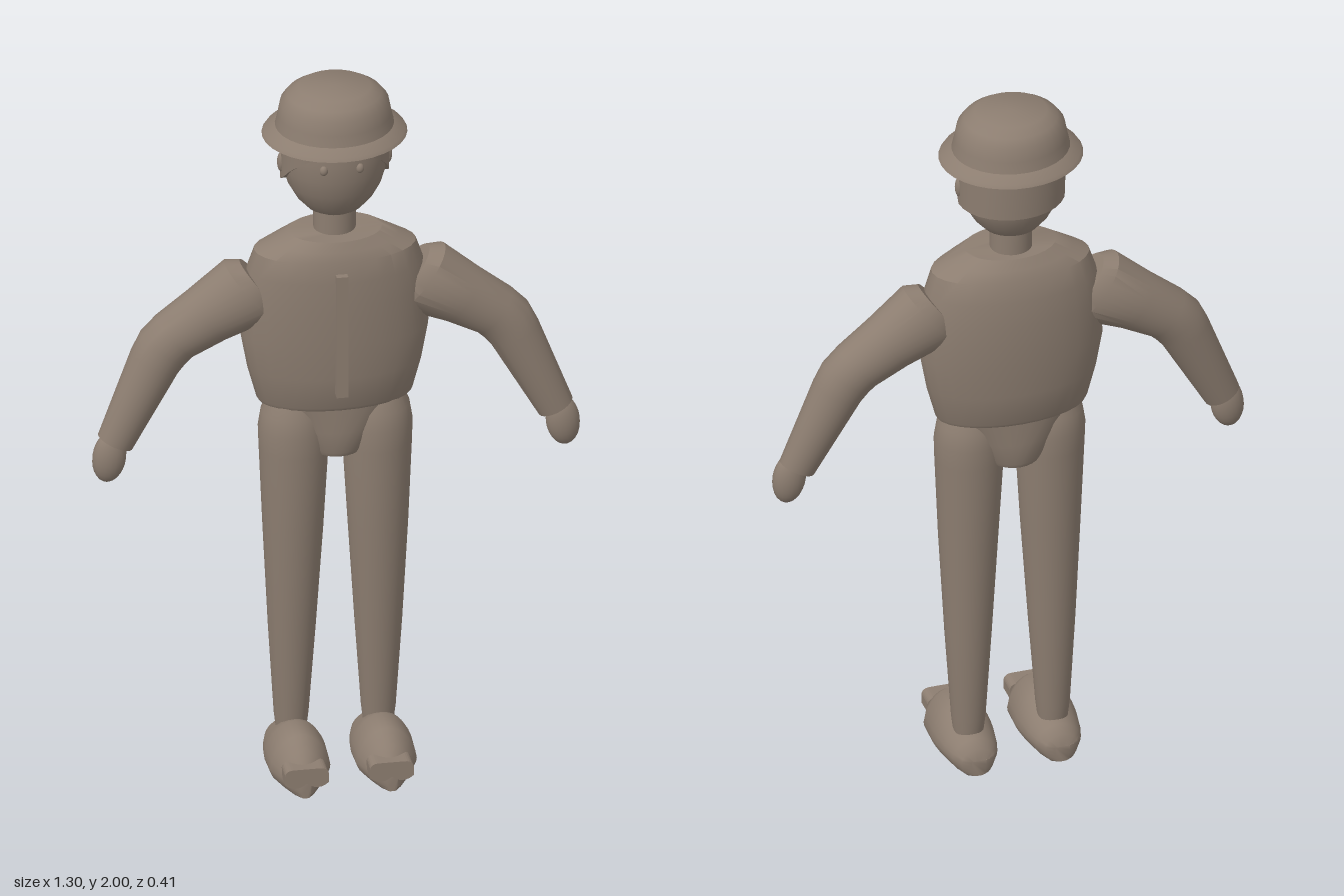
import * as THREE from 'three';
import { toCreasedNormals } from 'three/addons/utils/BufferGeometryUtils.js';

const V = (x, y, z) => new THREE.Vector3(x, y, z);
const SEG = 28;

// Closed elliptical section: centre plus two half-axis vectors
const ring = (c, a, b) => (t) => c.clone().addScaledVector(a, Math.cos(t)).addScaledVector(b, Math.sin(t));
// Horizontal section
const level = (y, x, z, rx, rz) => ring(V(x, y, z), V(rx, 0, 0), V(0, 0, -rz));

// Skin a list of sections; both ends are capped
function loft(rings, crease = 0.6) {
  const pos = [], idx = [];
  rings.forEach((r) => {
    for (let j = 0; j < SEG; j++) pos.push(...r((j / SEG) * Math.PI * 2).toArray());
  });
  const n = rings.length;
  for (let i = 0; i < n - 1; i++) {
    for (let j = 0; j < SEG; j++) {
      const k = (j + 1) % SEG, p = i * SEG, q = p + SEG;
      idx.push(p + j, p + k, q + k, p + j, q + k, q + j);
    }
  }
  for (let j = 1; j < SEG - 1; j++) {
    const e = (n - 1) * SEG;
    idx.push(0, j + 1, j, e, e + j, e + j + 1);
  }
  const g = new THREE.BufferGeometry();
  g.setAttribute('position', new THREE.Float32BufferAttribute(pos, 3));
  g.setIndex(idx);
  return toCreasedNormals(g, crease);
}

export function createModel() {
  const model = new THREE.Group();
  const clay = new THREE.MeshStandardMaterial({ color: 0x8c7d70 });
  clay.name = 'warm grey brown';
  const add = (name, geo) => {
    const m = new THREE.Mesh(geo, clay);
    m.name = name;
    model.add(m);
    return m;
  };
  const ball = (name, x, y, z, rx, ry, rz) => {
    const m = add(name, new THREE.SphereGeometry(1, 20, 14));
    m.position.set(x, y, z);
    m.scale.set(rx, ry, rz);
    return m;
  };

  // Hat with a sloping brim and rounded crown
  const hatProfile = [[0, 1.872], [0.14, 1.872], [0.192, 1.863], [0.186, 1.872], [0.157, 1.889],
    [0.15, 1.92], [0.143, 1.957], [0.125, 1.98], [0.096, 1.998], [0, 2]];
  const hat = add('hat', toCreasedNormals(
    new THREE.LatheGeometry(hatProfile.map(([x, y]) => new THREE.Vector2(x, y)), 32), 0.6));
  hat.scale.z = 0.91;
  hat.position.z = -0.03;

  // Head and neck
  add('head', loft([
    [1.637, 0.05, 0.05], [1.65, 0.075, 0.07], [1.68, 0.102, 0.092], [1.72, 0.124, 0.11],
    [1.77, 0.138, 0.122], [1.82, 0.142, 0.125], [1.875, 0.138, 0.122],
  ].map(([y, rx, rz]) => level(y, 0, -0.03, rx, rz))));
  add('neck', loft([level(1.55, 0, -0.03, 0.056, 0.054), level(1.66, 0, -0.03, 0.056, 0.054)]));

  // Hair: a shell whose lower edge climbs towards the forehead
  const hairEdge = (rx, rz) => (t) => {
    const z = -0.03 - rz * Math.sin(t);
    const y = 1.735 + Math.max(0, -0.13 * Math.sin(t) - 0.01);
    return V(rx * Math.cos(t), y, z);
  };
  add('hair', loft([hairEdge(0.11, 0.1), hairEdge(0.144, 0.126), level(1.876, 0, -0.03, 0.146, 0.127)]));

  // Torso, zip and pelvis
  add('torso', loft([
    [1.08, -0.03, 0.203, 0.1], [1.09, -0.03, 0.208, 0.106], [1.18, -0.03, 0.232, 0.117],
    [1.28, -0.03, 0.25, 0.124], [1.4, -0.03, 0.243, 0.125], [1.47, -0.027, 0.235, 0.12],
    [1.53, -0.024, 0.215, 0.112], [1.555, -0.022, 0.17, 0.1], [1.58, -0.02, 0.125, 0.085],
  ].map(([y, z, rx, rz]) => level(y, 0, z, rx, rz))));
  const zip = add('zip', new THREE.BoxGeometry(0.031, 0.36, 0.035));
  zip.position.set(-0.002, 1.318, 0.09);
  add('pelvis', loft([
    [0.937, 0.078, 0.088], [0.95, 0.086, 0.094], [1.01, 0.125, 0.096], [1.09, 0.18, 0.096],
  ].map(([y, rx, rz]) => level(y, 0, -0.027, rx, rz))));

  for (const s of [1, -1]) {
    const side = s > 0 ? 'left' : 'right';

    // Face details
    ball(side + 'Eye', s * 0.048, 1.81, 0.086, 0.011, 0.014, 0.01);
    ball(side + 'Ear', s * 0.141, 1.785, -0.028, 0.012, 0.029, 0.014);

    // Sleeve: sections square to the bent arm
    const arm = [
      // x, y, z, in-plane radius, depth radius, heading
      [0.2, 1.428, -0.03, 0.085, 0.06, -0.66], [0.228, 1.41, -0.03, 0.108, 0.078, -0.66],
      [0.34, 1.343, -0.032, 0.085, 0.073, -0.65], [0.425, 1.288, -0.033, 0.075, 0.068, -0.7],
      [0.455, 1.258, -0.032, 0.075, 0.066, -0.95], [0.478, 1.22, -0.03, 0.07, 0.064, -1.12],
      [0.585, 0.995, -0.018, 0.05, 0.045, -1.13],
    ];
    add(side + 'Arm', loft(arm.map(([x, y, z, ra, rb, h]) => {
      const d = V(s * Math.cos(h), Math.sin(h), 0), b = V(0, 0, 1);
      return ring(V(s * x, y, z), V(0, 0, 1).cross(d).multiplyScalar(ra), b.multiplyScalar(rb));
    })));
    const hand = ball(side + 'Hand', s * 0.603, 0.957, -0.006, 0.045, 0.073, 0.034);
    hand.rotation.z = s * 0.12;

    // Tapered trouser leg
    add(side + 'Leg', loft([
      [0.09, 0.116, -0.027, 0.04, 0.038], [0.14, 0.116, -0.027, 0.046, 0.043],
      [0.4, 0.115, -0.022, 0.063, 0.06], [0.7, 0.113, -0.017, 0.08, 0.078],
      [0.94, 0.111, -0.018, 0.092, 0.088], [1.0, 0.112, -0.019, 0.093, 0.089],
      [1.05, 0.112, -0.02, 0.085, 0.082], [1.09, 0.112, -0.02, 0.068, 0.065],
    ].map(([y, x, z, rx, rz]) => level(y, s * x, z, rx, rz))));

    // Shoe: sections from heel to toe, flattened at the sole
    const shoe = [
      // z, half width, top height
      [-0.116, 0.02, 0.045], [-0.107, 0.045, 0.078], [-0.08, 0.062, 0.094], [-0.04, 0.073, 0.107],
      [0.0, 0.08, 0.132], [0.03, 0.083, 0.141], [0.11, 0.08, 0.141], [0.15, 0.062, 0.112],
      [0.18, 0.04, 0.085], [0.2, 0.015, 0.055],
    ];
    add(side + 'Shoe', loft(shoe.map(([z, w, h]) => (t) => {
      const c = Math.cos(t), u = Math.sin(t), base = 0.045;
      const y = u > 0 ? base + (h - base) * u : base * (1 - Math.min(1, -u * 1.25));
      // The upper narrows towards the ankle
      return V(s * 0.115 + w * c * (u > 0 ? 1 - 0.12 * u : 1), Math.max(0, y), z);
    }), 0.9));

    // Toe cap: a short arched band across the tip
    const cap = new THREE.Shape();
    cap.moveTo(-0.058, 0.045);
    cap.lineTo(-0.058, 0.072);
    cap.quadraticCurveTo(-0.055, 0.088, -0.035, 0.088);
    cap.lineTo(0.035, 0.088);
    cap.quadraticCurveTo(0.055, 0.088, 0.058, 0.072);
    cap.lineTo(0.058, 0.045);
    cap.quadraticCurveTo(0.03, 0.02, 0, 0.045);
    cap.quadraticCurveTo(-0.03, 0.02, -0.058, 0.045);
    const toe = add(side + 'ToeCap',
      new THREE.ExtrudeGeometry(cap, { depth: 0.054, bevelEnabled: false, curveSegments: 6 }));
    toe.position.set(s * 0.113, 0, 0.149);
  }
  return model;
}
